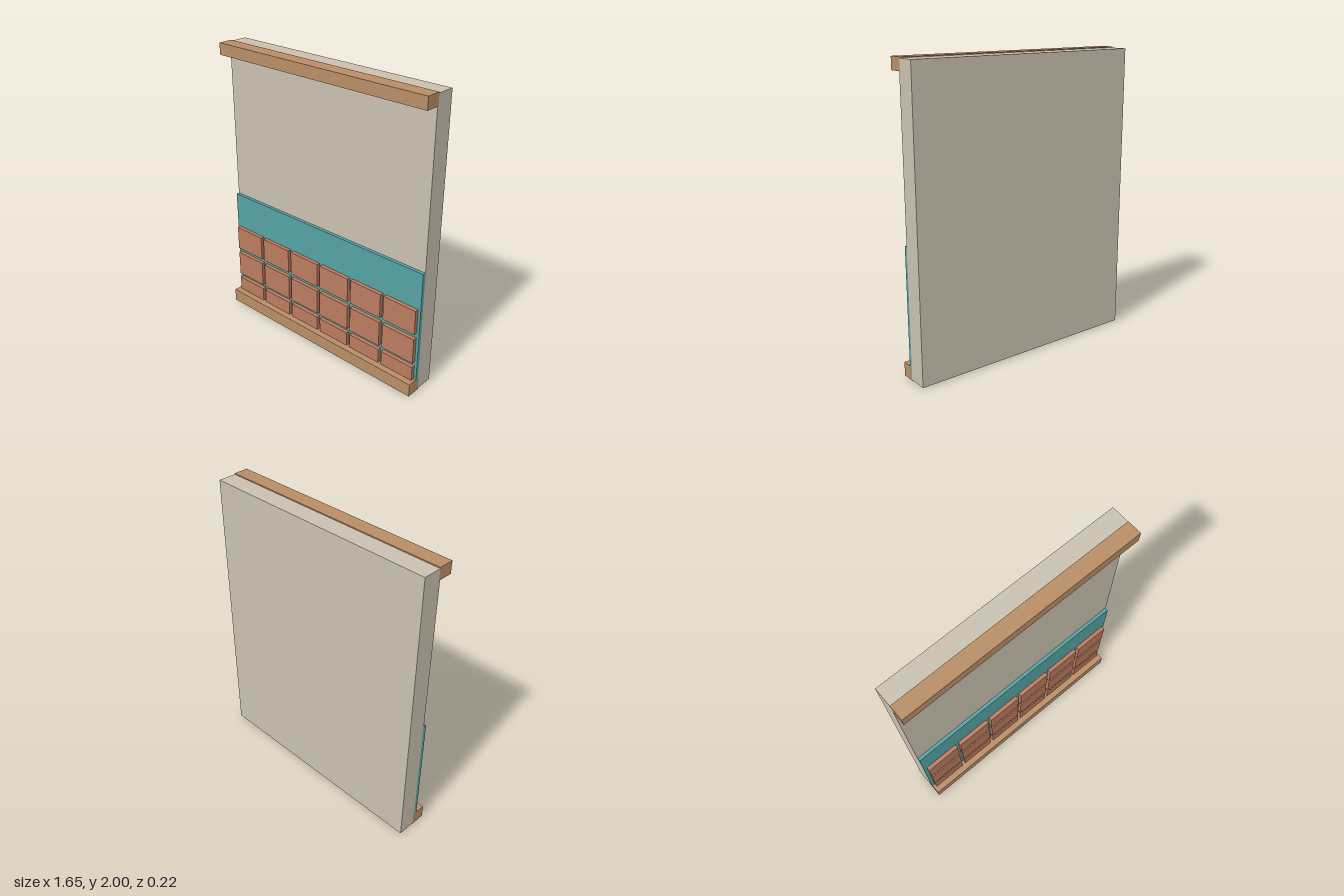
import * as THREE from 'three';

const mat = (name, color) => {
  const m = new THREE.MeshStandardMaterial({ color });
  m.name = name;
  return m;
};

export function createModel() {
  const plaster = mat('plaster', 0xc9c0b0);
  const teal = mat('teal', 0x55a3a4);
  const brick = mat('brick', 0xbb7b5f);
  const wood = mat('wood', 0xb88d66);
  const group = new THREE.Group();
  group.name = 'wallPanel';

  // Box given by its lower and upper limits on each axis
  const box = (name, material, [x0, x1], [y0, y1], [z0, z1]) => {
    const mesh = new THREE.Mesh(new THREE.BoxGeometry(x1 - x0, y1 - y0, z1 - z0), material);
    mesh.position.set((x0 + x1) / 2, (y0 + y1) / 2, (z0 + z1) / 2);
    mesh.name = name;
    group.add(mesh);
  };

  const W = 0.827;
  const full = [-W, W];

  // Wall slab with its painted lower panel
  box('wall', plaster, full, [0.007, 1.993], [-0.112, 0.02]);
  box('lowerPanel', teal, full, [0.05, 0.884], [0.019, 0.042]);

  // Wooden rails along the top and bottom
  box('topRail', wood, full, [1.92, 2], [0.012, 0.112]);
  box('bottomRail', wood, full, [0, 0.093], [0.012, 0.112]);

  // Three rows of six tiles, the lowest partly behind the bottom rail
  const rows = [[0.45, 0.625], [0.23, 0.412], [0.03, 0.196]];
  rows.forEach((y, r) => {
    for (let c = 0; c < 6; c++) {
      const x = (c - 2.5) * 0.273 + 0.002;
      box(`tile_${r + 1}_${c + 1}`, brick, [x - 0.124, x + 0.124], y, [0.041, 0.069]);
    }
  });

  return group;
}
